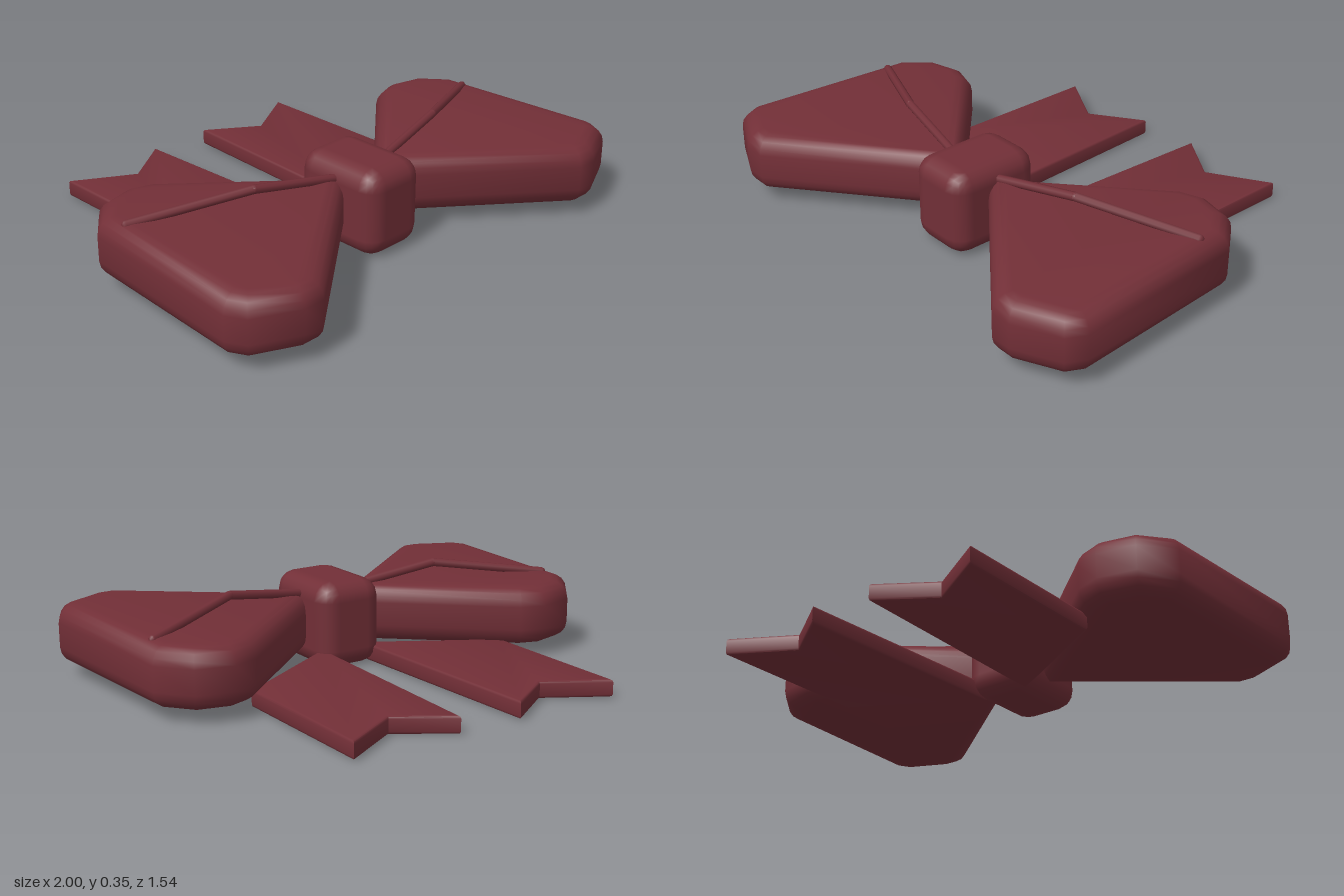
import * as THREE from 'three';
import { toCreasedNormals } from 'three/addons/utils/BufferGeometryUtils.js';
import { RoundedBoxGeometry } from 'three/addons/geometries/RoundedBoxGeometry.js';

const wine = new THREE.MeshStandardMaterial({ color: 0x722f37 });
wine.name = 'wine red';

function addMesh(parent, name, geometry) {
  const mesh = new THREE.Mesh(geometry, wine);
  mesh.name = name;
  parent.add(mesh);
  return mesh;
}

// Flat slab from an [x, z] outline, grown outward by a rounded bevel
function slab(outline, side, bottom, top, bevel, segments) {
  const shape = new THREE.Shape(outline.map(([x, z]) => new THREE.Vector2(side * x, -z)));
  const geometry = new THREE.ExtrudeGeometry(shape, {
    depth: top - bottom - 2 * bevel,
    bevelSize: bevel,
    bevelThickness: bevel,
    bevelSegments: segments,
  });
  geometry.rotateX(-Math.PI / 2).translate(0, bottom + bevel, 0);
  return toCreasedNormals(geometry, 0.8);
}

// Straight rounded rod between two points
function rod(parent, name, a, b, radius) {
  const dir = b.clone().sub(a);
  const mesh = addMesh(parent, name, new THREE.CapsuleGeometry(radius, dir.length(), 3, 8));
  mesh.position.copy(a).add(b).multiplyScalar(0.5);
  mesh.quaternion.setFromUnitVectors(new THREE.Vector3(0, 1, 0), dir.normalize());
}

const LOOP = [
  [0.174, 0.264], [0.645, -0.148], [0.71, -0.17], [0.815, -0.145],
  [0.885, -0.06], [0.928, 0.6], [0.91, 0.635], [0.77, 0.7], [0.725, 0.7],
];
const TAIL = [
  [0.1, 0.15], [0.57, -0.125], [0.57, -0.762], [0.34, -0.625], [0.14, -0.762],
];
const CREASE = [[0.9, 0.28, 0.01], [0.48, 0.337, 0.205], [0.12, 0.28, 0.265]];

export function createModel() {
  const bow = new THREE.Group();
  bow.name = 'bow';

  // Centre knot
  addMesh(bow, 'knot', new RoundedBoxGeometry(0.28, 0.345, 0.39, 2, 0.075))
    .position.set(0, 0.1725, 0.268);

  for (const [label, side] of [['left', 1], ['right', -1]]) {
    // Puffy loop, and ribbon tail with a notched end
    addMesh(bow, label + 'Loop', slab(LOOP, side, 0.05, 0.285, 0.07, 4));
    addMesh(bow, label + 'Tail', slab(TAIL, side, 0.003, 0.07, 0.01, 2));

    // Bent crease lying over the loop
    const points = CREASE.map(([x, y, z]) => new THREE.Vector3(side * x, y, z));
    const crease = new THREE.Group();
    crease.name = label + 'Crease';
    bow.add(crease);
    rod(crease, 'outerCrease', points[0], points[1], 0.017);
    rod(crease, 'innerCrease', points[1], points[2], 0.017);
  }
  return bow;
}
